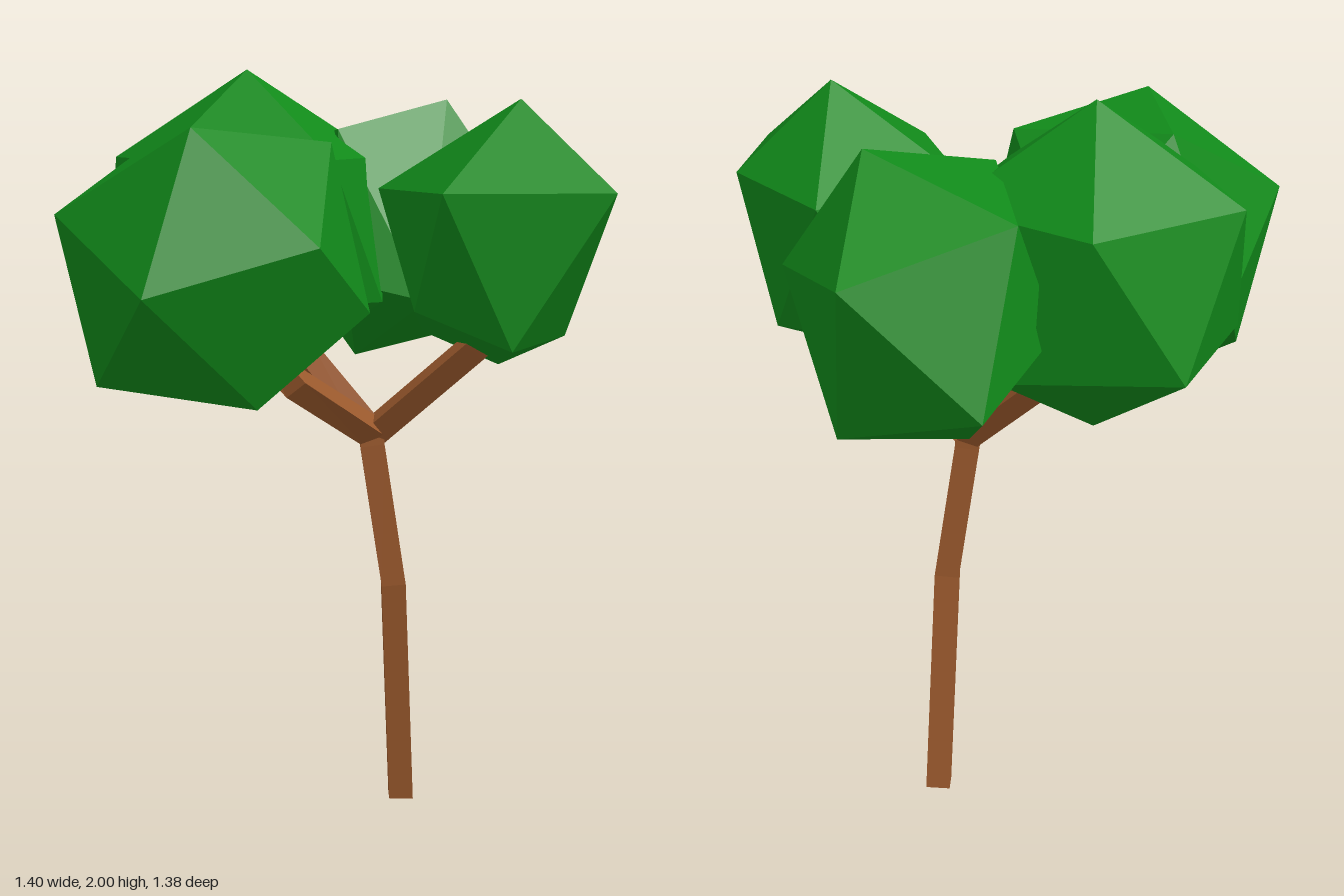
import * as THREE from 'three';
import { ConvexGeometry } from 'three/addons/geometries/ConvexGeometry.js';

const bark = new THREE.MeshStandardMaterial({ color: 0x9c5a2d, flatShading: true });
const leaf = new THREE.MeshStandardMaterial({ color: 0x118a1a, flatShading: true });
const vec = (p) => new THREE.Vector3(...p);

// Square-sectioned limb swept along a few joints
function limb(name, joints, radius) {
  const path = joints.map(vec);
  const last = path.length - 1;
  const geo = new THREE.CylinderGeometry(radius, radius, 1, 4, last);
  geo.rotateY(THREE.MathUtils.degToRad(27));
  const up = new THREE.Vector3(0, 1, 0);
  const turns = path.map((p, i) => {
    const along = path[Math.min(i + 1, last)].clone().sub(path[Math.max(i - 1, 0)]).normalize();
    return new THREE.Quaternion().setFromUnitVectors(up, along);
  });
  const pos = geo.attributes.position;
  const v = new THREE.Vector3();
  for (let i = 0; i < pos.count; i++) {
    v.fromBufferAttribute(pos, i);
    const row = Math.round((v.y + 0.5) * last);
    v.setY(0).applyQuaternion(turns[row]).add(path[row]);
    pos.setXYZ(i, v.x, Math.max(v.y, 0), v.z);
  }
  geo.computeVertexNormals();
  const mesh = new THREE.Mesh(geo, bark);
  mesh.name = name;
  return mesh;
}

// Faceted clump of leaves; with a centre given, each corner gets its opposite
function clump(name, corners, centre) {
  const points = corners.map(vec);
  if (centre) {
    points.push(...points.map((p) => vec(centre).multiplyScalar(2).sub(p)));
  }
  const mesh = new THREE.Mesh(new ConvexGeometry(points), leaf);
  mesh.name = name;
  return mesh;
}

export function createModel() {
  const tree = new THREE.Group();
  tree.name = 'tree';

  // Leaning trunk and the three branches of the fork
  const fork = [0.175, 1.03, 0.01];
  tree.add(
    limb('trunk', [[0.28, 0, -0.043], [0.23, 0.62, 0.024], [0.172, 1.0, 0.012], [0.17, 1.07, 0.01]], 0.046),
    limb('rightBranch', [fork, [-0.12, 1.2, 0.22], [-0.25, 1.34, 0.2]], 0.045),
    limb('leftBranch', [fork, [0.37, 1.28, 0.25], [0.43, 1.36, 0.32]], 0.045),
    limb('backBranch', [fork, [0.04, 1.26, -0.23], [-0.03, 1.38, -0.32]], 0.045),
  );

  // Right clump
  tree.add(clump('rightLeaves', [
    [-0.42, 1.85, 0.33], [0, 1.81, 0.17], [-0.34, 1.85, -0.12],
    [-0.15, 1.56, 0.52], [-0.58, 1.44, 0.45], [-0.7, 1.63, 0.05],
  ], [-0.3, 1.5, 0.12]));

  // Tall back clump, a regular icosahedron standing on a corner
  const centre = [-0.09, 1.57, -0.27];
  const r = 0.43;
  const top = [[centre[0], centre[1] + r, centre[2]]];
  for (let i = 0; i < 5; i++) {
    const a = (i * Math.PI * 2) / 5;
    top.push([
      centre[0] + 0.894 * r * Math.cos(a),
      centre[1] + 0.447 * r,
      centre[2] + 0.894 * r * Math.sin(a),
    ]);
  }
  tree.add(clump('backLeaves', top, centre));

  // Left rear clump
  tree.add(clump('leftRearLeaves', [
    [0.49, 1.92, -0.26], [0.63, 1.69, -0.6], [0.68, 1.62, -0.18], [0.33, 1.38, 0],
    [0.14, 1.84, -0.18], [0.19, 1.8, -0.57], [0.31, 1.36, -0.69], [0.61, 1.26, -0.45],
    [0.27, 1.2, -0.4], [0.08, 1.5, -0.51], [0.13, 1.43, -0.09],
  ]));

  // Left front clump
  tree.add(clump('leftFrontLeaves', [
    [0.44, 1.92, 0.37],
    [0.14, 1.69, 0.14], [0.14, 1.69, 0.59], [0.56, 1.69, 0.69], [0.7, 1.69, 0.37], [0.56, 1.69, 0],
    [0.32, 1.3, 0.61], [0.63, 1.3, 0.24], [0.44, 1.23, 0.24], [0.32, 1.3, 0], [0.18, 1.38, 0.3],
  ]));

  return tree;
}
